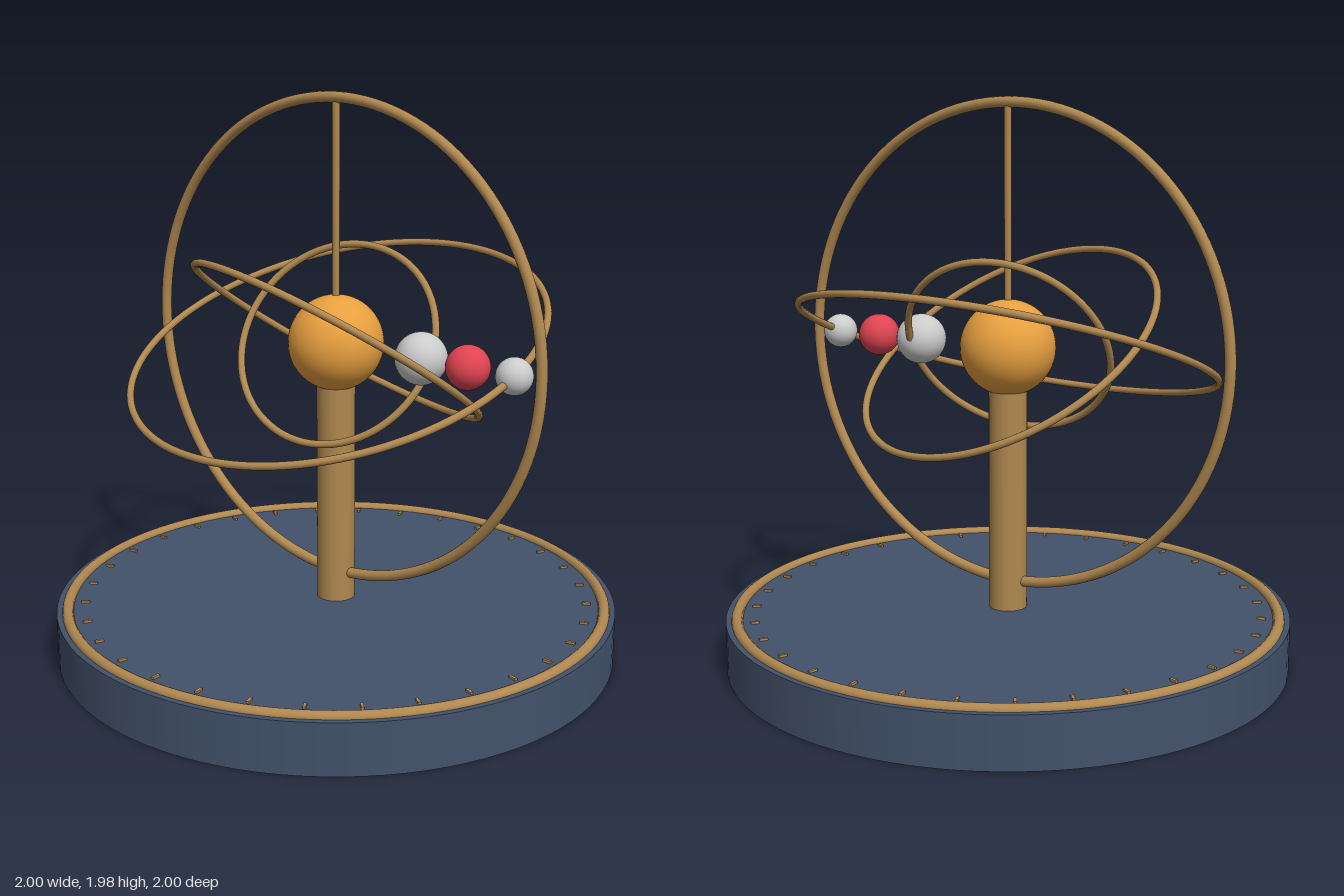
import * as THREE from 'three';

export function createModel() {
  const model = new THREE.Group();
  const material = (color) => new THREE.MeshStandardMaterial({ color });
  const brass = material(0xb08850);
  const navy = material(0x43526b);
  const gold = material(0xe8a040);
  const red = material(0xe04452);
  const grey = material(0xcccccc);
  const CENTRE = 1.12;

  function add(name, geometry, mat, x = 0, y = 0, z = 0) {
    const mesh = new THREE.Mesh(geometry, mat);
    mesh.name = name;
    mesh.position.set(x, y, z);
    model.add(mesh);
    return mesh;
  }

  // A ring whose plane is set by its normal
  function ring(name, radius, tube, normal, y = CENTRE) {
    const mesh = add(name, new THREE.TorusGeometry(radius, tube, 14, 128), brass, 0, y);
    const n = new THREE.Vector3(...normal).normalize();
    mesh.quaternion.setFromUnitVectors(new THREE.Vector3(0, 0, 1), n);
  }

  // Round base with its brass rim
  add('base', new THREE.CylinderGeometry(1, 1, 0.18, 96), navy, 0, 0.09);
  ring('baseRim', 0.96, 0.02, [0, 1, 0], 0.18);

  // Scale marks around the base
  const ticks = new THREE.Group();
  ticks.name = 'scaleMarks';
  const tickGeometry = new THREE.BoxGeometry(0.03, 0.012, 0.01);
  for (let i = 0; i < 32; i++) {
    const a = (i / 32) * Math.PI * 2;
    const tick = new THREE.Mesh(tickGeometry, brass);
    tick.name = 'scaleMark';
    tick.position.set(0.9 * Math.cos(a), 0.182, 0.9 * Math.sin(a));
    tick.rotation.y = -a;
    ticks.add(tick);
  }
  model.add(ticks);

  // Post, sun and the thin rod up to the outer ring
  add('post', new THREE.CylinderGeometry(0.068, 0.068, 0.86, 32), brass, 0, 0.61);
  add('sun', new THREE.SphereGeometry(0.168, 48, 32), gold, 0, CENTRE);
  add('topRod', new THREE.CylinderGeometry(0.013, 0.013, 0.76, 16), brass, 0, 1.58);

  // Upright outer ring and three tilted orbits
  ring('meridianRing', 0.842, 0.019, [0, 0, 1]);
  ring('outerOrbit', 0.74, 0.013, [0, 0.94, 0.345]);
  ring('middleOrbit', 0.56, 0.013, [0.17, 0.83, -0.53]);
  ring('innerOrbit', 0.37, 0.013, [0.17, 0.52, 0.84]);

  // Planets lined up on the model's left
  const planets = [
    ['innerPlanet', 0.37, 0.09, grey],
    ['middlePlanet', 0.56, 0.075, red],
    ['outerPlanet', 0.74, 0.062, grey],
  ];
  for (const [name, x, radius, mat] of planets) {
    add(name, new THREE.SphereGeometry(radius, 32, 24), mat, x, CENTRE);
  }
  return model;
}
